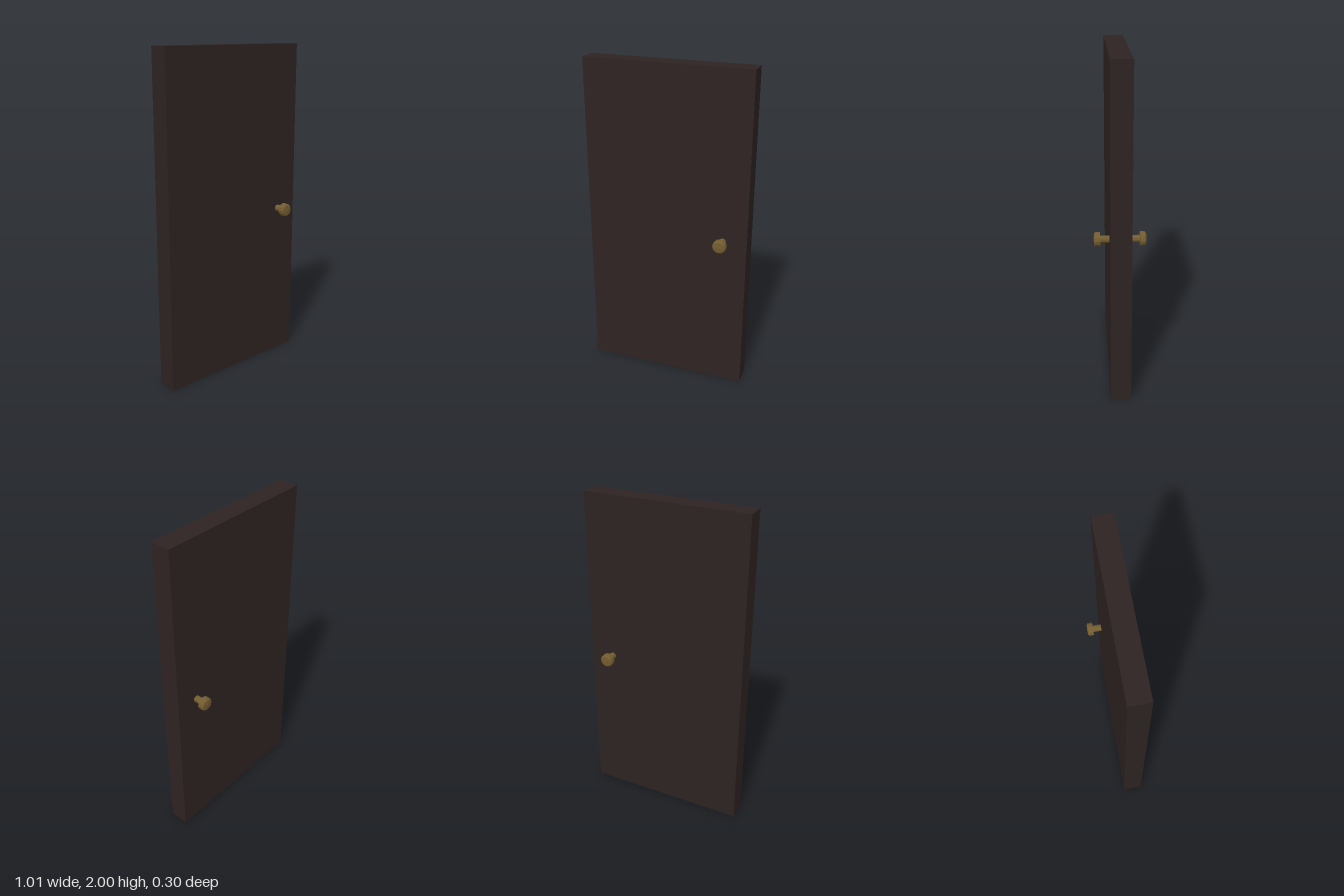
import * as THREE from 'three';

export function createModel() {
  const door = new THREE.Group();
  door.name = 'door';

  const darkWood = new THREE.MeshStandardMaterial({ color: 0x2d2322 });
  darkWood.name = 'dark wood';
  const brass = new THREE.MeshStandardMaterial({ color: 0x735c30, flatShading: true });
  brass.name = 'aged brass';

  // Plain slab
  const panel = new THREE.Mesh(new THREE.BoxGeometry(1.006, 2, 0.12), darkWood);
  panel.name = 'doorPanel';
  panel.position.y = 1;
  door.add(panel);

  // Knob profile: stem, flange, short rim, bevelled and slightly domed face
  const profile = [
    [0.021, 0.05], [0.021, 0.112], [0.041, 0.112], [0.041, 0.139], [0.033, 0.147], [0, 0.15],
  ].map(([r, h]) => new THREE.Vector2(r, h));
  const knobGeometry = new THREE.LatheGeometry(profile, 12);

  // One knob on each side of the slab
  for (const side of [1, -1]) {
    const knob = new THREE.Mesh(knobGeometry, brass);
    knob.name = side > 0 ? 'frontKnob' : 'backKnob';
    knob.position.set(0.357, 0.98, 0);
    knob.rotation.x = side * Math.PI / 2;
    door.add(knob);
  }
  return door;
}
